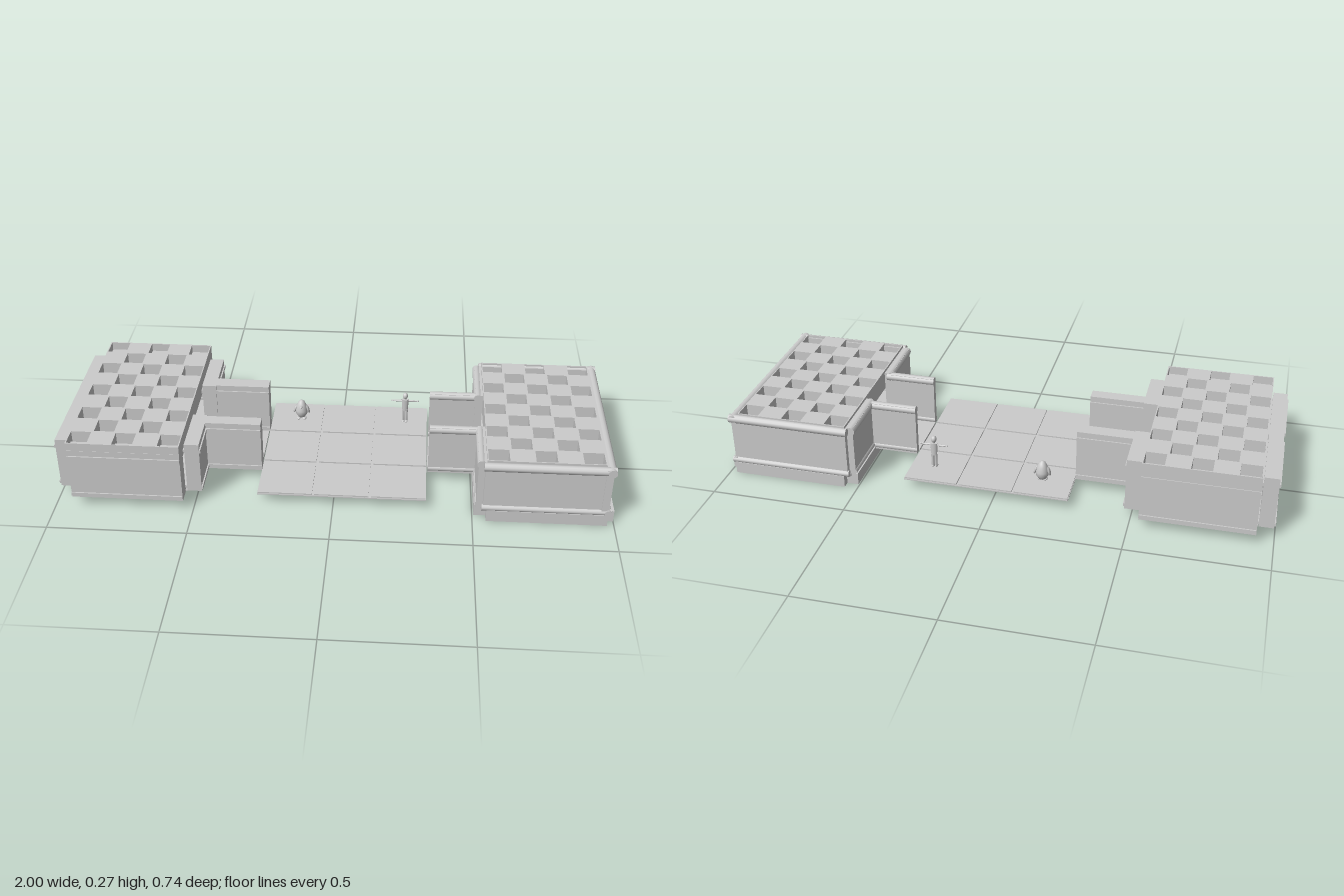
import * as THREE from 'three';

const grey = new THREE.MeshStandardMaterial({ color: 0xcccccc, side: THREE.DoubleSide });

function add(parent, name, geometry, x = 0, y = 0, z = 0) {
  const mesh = new THREE.Mesh(geometry, grey);
  mesh.name = name;
  mesh.position.set(x, y, z);
  parent.add(mesh);
  return mesh;
}

// Box given by its minimum and maximum corners
function box(parent, name, x0, x1, y0, y1, z0, z1) {
  return add(parent, name, new THREE.BoxGeometry(x1 - x0, y1 - y0, z1 - z0),
    (x0 + x1) / 2, (y0 + y1) / 2, (z0 + z1) / 2);
}

// Round rail along x or z
function rail(parent, name, axis, from, to, y, across, r) {
  const geometry = new THREE.CylinderGeometry(r, r, to - from, 12);
  const mid = (from + to) / 2;
  if (axis === 'x') {
    geometry.rotateZ(Math.PI / 2);
    return add(parent, name, geometry, mid, y, across);
  }
  geometry.rotateX(Math.PI / 2);
  return add(parent, name, geometry, across, y, mid);
}

// Slender wall with a strip near its top and near its foot
function panelWall(parent, name, x0, x1, z0, z1, alongX, top = 0.237) {
  const wall = new THREE.Group();
  wall.name = name;
  const e = 0.005, ex = alongX ? 0 : e, ez = alongX ? e : 0;
  box(wall, 'panel', x0 + ex, x1 - ex, 0.037, top, z0 + ez, z1 - ez);
  for (const y of [0.046, 0.203]) box(wall, 'moulding', x0, x1, y, y + 0.012, z0, z1);
  parent.add(wall);
}

// Slab with a chequerboard of square pits, 5 by 9 cells
function pittedRoof(parent, x0, x1, z0, z1, top, depth) {
  const shape = new THREE.Shape([[x0, -z1], [x1, -z1], [x1, -z0], [x0, -z0]]
    .map(([x, y]) => new THREE.Vector2(x, y)));
  const w = (x1 - x0) / 5, d = (z1 - z0) / 9, m = 0.004;
  for (let i = 0; i < 5; i++) {
    for (let j = 0; j < 9; j++) {
      if ((i + j) % 2) continue;
      const a = x0 + i * w + m, b = x0 + (i + 1) * w - m;
      const c = -z1 + j * d + m, e = -z1 + (j + 1) * d - m;
      shape.holes.push(new THREE.Path([[a, c], [a, e], [b, e], [b, c]]
        .map(([x, y]) => new THREE.Vector2(x, y))));
    }
  }
  const geometry = new THREE.ExtrudeGeometry(shape, { depth, bevelEnabled: false });
  geometry.rotateX(-Math.PI / 2);
  add(parent, 'pittedRoof', geometry, 0, top - depth, 0);
  box(parent, 'ceiling', x0, x1, top - depth - 0.006, top - depth, z0, z1);
}

function leftRoom() {
  const g = new THREE.Group();
  g.name = 'tallRoom';
  box(g, 'floor', -0.94, -0.53, 0.035, 0.043, -0.31, 0.3);
  for (const [a, b] of [[-0.368, -0.305], [0.3, 0.368]]) panelWall(g, 'sideWall', -0.938, -0.535, a, b, true);
  // end wall with a narrow door
  panelWall(g, 'endWall', -1, -0.937, -0.308, -0.02, false);
  panelWall(g, 'endWall', -1, -0.937, 0.04, 0.298, false);
  box(g, 'doorLintel', -0.995, -0.937, 0.205, 0.237, -0.02, 0.04);
  box(g, 'doorSill', -0.995, -0.937, 0.037, 0.05, -0.02, 0.04);
  // wall parted by the passage
  panelWall(g, 'innerWall', -0.535, -0.472, -0.308, -0.105, false);
  panelWall(g, 'innerWall', -0.535, -0.472, 0.1, 0.298, false);
  pittedRoof(g, -0.938, -0.535, -0.365, 0.362, 0.268, 0.07);
  return g;
}

function rightRoom() {
  const g = new THREE.Group();
  g.name = 'lowRoom';
  box(g, 'floor', 0.53, 0.96, 0.035, 0.043, -0.34, 0.335);
  for (const s of [-1, 1]) {
    const z0 = Math.min(s * 0.325, s * 0.35), z1 = Math.max(s * 0.325, s * 0.35);
    box(g, 'sideWall', 0.535, 0.965, 0.04, 0.235, z0, z1);
    box(g, 'sidePlinth', 0.548, 0.975, 0, 0.045, Math.min(s * 0.3, s * 0.358), Math.max(s * 0.3, s * 0.358));
    rail(g, 'topRail', 'x', 0.53, 0.985, 0.224, s * 0.343, 0.016);
    rail(g, 'footRail', 'x', 0.53, 0.985, 0.053, s * 0.347, 0.012);
    // wall and plinth beside the passage
    const a = Math.min(s * 0.105, s * 0.33), b = Math.max(s * 0.105, s * 0.33);
    box(g, 'innerWall', 0.512, 0.54, 0.04, 0.235, a, b);
    rail(g, 'innerTopRail', 'z', a, b, 0.222, 0.522, 0.016);
    rail(g, 'innerFootRail', 'z', a, b, 0.054, 0.519, 0.012);
  }
  box(g, 'innerPlinth', 0.505, 0.55, 0, 0.045, -0.33, 0.325);
  box(g, 'endPlinth', 0.955, 1, 0, 0.045, -0.325, 0.33);
  box(g, 'endWall', 0.95, 0.976, 0.04, 0.235, -0.35, 0.355);
  rail(g, 'endTopRail', 'z', -0.355, 0.36, 0.224, 0.97, 0.016);
  rail(g, 'endFootRail', 'z', -0.355, 0.36, 0.054, 0.974, 0.012);
  pittedRoof(g, 0.54, 0.952, -0.34, 0.335, 0.245, 0.07);
  return g;
}

function passages() {
  const g = new THREE.Group();
  g.name = 'passages';
  box(g, 'leftPassageFloor', -0.535, -0.278, 0.035, 0.043, -0.105, 0.1);
  box(g, 'rightPassageFloor', 0.338, 0.54, 0.035, 0.043, -0.105, 0.1);
  panelWall(g, 'leftPassageWall', -0.48, -0.275, -0.168, -0.105, true);
  panelWall(g, 'leftPassageWall', -0.48, -0.275, 0.1, 0.158, true);
  for (const z of [-0.121, 0.112]) {
    box(g, 'rightPassageWall', 0.34, 0.515, 0.037, 0.232, z - 0.011, z + 0.011);
    rail(g, 'passageTopRail', 'x', 0.34, 0.53, 0.22, z, 0.016);
    rail(g, 'passageFootRail', 'x', 0.34, 0.53, 0.052, z, 0.014);
  }
  return g;
}

// Open court of 3 by 3 paving plates
function court() {
  const g = new THREE.Group();
  g.name = 'court';
  box(g, 'courtBed', -0.275, 0.335, 0.035, 0.039, -0.31, 0.302);
  for (let i = 0; i < 3; i++) {
    for (let j = 0; j < 3; j++) {
      const x = -0.175 + i * 0.205, z = -0.209 + j * 0.205;
      box(g, 'pavingPlate', x - 0.098, x + 0.098, 0.036, 0.044, z - 0.098, z + 0.098);
    }
  }
  return g;
}

function ball(parent, name, rx, ry, rz, x, y, z) {
  const mesh = add(parent, name, new THREE.SphereGeometry(1, 16, 12), x, y, z);
  mesh.scale.set(rx, ry, rz);
  return mesh;
}

// Small egg-shaped creature
function creature() {
  const g = new THREE.Group();
  g.name = 'roundCreature';
  const profile = [[0, 0.008], [0.014, 0.01], [0.023, 0.025], [0.024, 0.04], [0.019, 0.06],
    [0.012, 0.075], [0.005, 0.081], [0, 0.082]].map(([x, y]) => new THREE.Vector2(x, y));
  add(g, 'body', new THREE.LatheGeometry(profile, 18));
  for (const s of [-1, 1]) {
    ball(g, 'wing', 0.005, 0.018, 0.01, s * 0.025, 0.042, 0).rotation.z = s * 0.3;
    ball(g, 'foot', 0.008, 0.005, 0.013, s * 0.011, 0.005, 0.007);
  }
  ball(g, 'beak', 0.005, 0.004, 0.01, 0, 0.06, 0.02);
  g.position.set(-0.16, 0.043, -0.207);
  return g;
}

// Standing figure with its arms held out
function figure() {
  const g = new THREE.Group();
  g.name = 'standingFigure';
  for (const s of [-1, 1]) {
    add(g, 'leg', new THREE.CylinderGeometry(0.006, 0.005, 0.055, 10), s * 0.006, 0.0285, 0);
    ball(g, 'foot', 0.006, 0.004, 0.011, s * 0.006, 0.004, 0.004);
    const arm = add(g, 'arm', new THREE.CylinderGeometry(0.003, 0.004, 0.04, 8), s * 0.029, 0.094, 0);
    arm.rotation.z = -s * Math.PI / 2;
    ball(g, 'hand', 0.005, 0.003, 0.004, s * 0.049, 0.094, 0);
  }
  add(g, 'torso', new THREE.CylinderGeometry(0.014, 0.011, 0.05, 12), 0, 0.076, 0).scale.z = 0.6;
  add(g, 'neck', new THREE.CylinderGeometry(0.004, 0.004, 0.014, 8), 0, 0.105, 0);
  ball(g, 'head', 0.01, 0.013, 0.011, 0, 0.117, 0.001);
  g.position.set(0.247, 0.043, -0.21);
  return g;
}

export function createModel() {
  const model = new THREE.Group();
  model.name = 'roomsAndCourt';
  model.add(leftRoom(), rightRoom(), passages(), court(), creature(), figure());
  return model;
}
